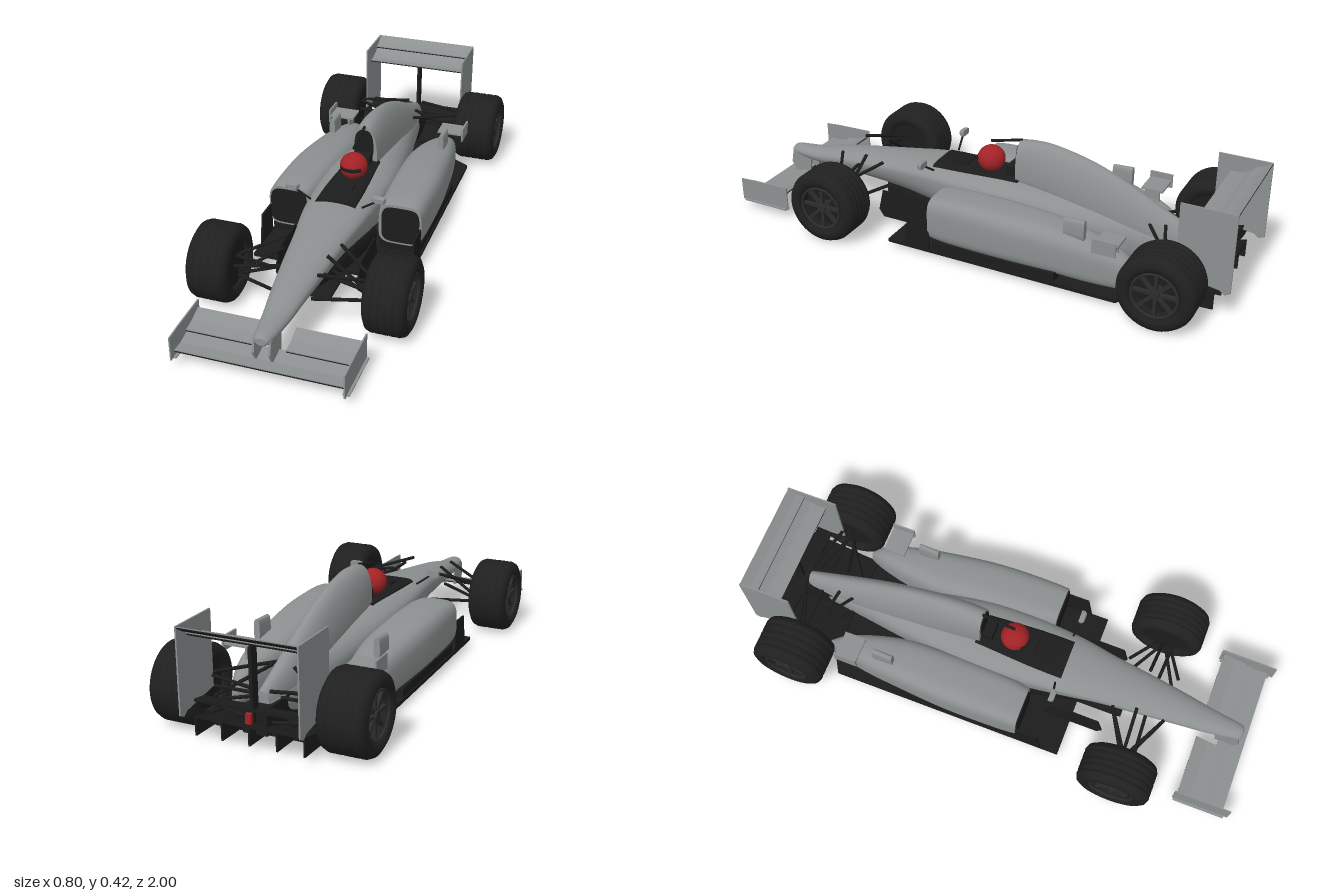
import * as THREE from 'three';

const mat = (name, color, side = THREE.FrontSide) => {
  const m = new THREE.MeshStandardMaterial({ color, side });
  m.name = name;
  return m;
};

// Loft of rounded sections [z, centreX, halfWidth, yBottom, yWidest, yTop, powerTop, powerBottom], front to back
function loft(keys, sub = 4, n = 36) {
  const rows = [];
  const cr = (a, b, c, d, t) => 0.5 * (2 * b + (c - a) * t + (2 * a - 5 * b + 4 * c - d) * t * t + (3 * b - a - 3 * c + d) * t ** 3);
  for (let i = 0; i < keys.length - 1; i++) {
    const [a, b, c, d] = [keys[Math.max(i - 1, 0)], keys[i], keys[i + 1], keys[Math.min(i + 2, keys.length - 1)]];
    for (let k = 0; k < sub; k++) rows.push(b.map((v, j) => cr(a[j], v, c[j], d[j], k / sub)));
  }
  rows.push(keys[keys.length - 1]);
  const pos = [], idx = [];
  const ring = ([z, cx, hw, yb, yw, yt, pt, pb]) => {
    for (let k = 0; k < n; k++) {
      const a = (k / n) * Math.PI * 2, c = Math.cos(a), s = Math.sin(a), p = s >= 0 ? pt : pb;
      pos.push(cx + hw * Math.sign(c) * Math.abs(c) ** p, yw + (s >= 0 ? yt - yw : yb - yw) * Math.abs(s) ** p, z);
    }
  };
  rows.forEach(ring);
  for (let i = 0; i < rows.length - 1; i++) for (let k = 0; k < n; k++) {
    const a = i * n + k, a1 = i * n + (k + 1) % n;
    idx.push(a, a + n, a1, a1, a + n, a1 + n);
  }
  for (const [row, front] of [[rows[0], true], [rows[rows.length - 1], false]]) {
    const start = pos.length / 3;
    ring(row);
    pos.push(row[1], row[4], row[0]);
    for (let k = 0; k < n; k++) {
      const a = start + k, b = start + (k + 1) % n;
      idx.push(start + n, front ? a : b, front ? b : a);
    }
  }
  const g = new THREE.BufferGeometry();
  g.setAttribute('position', new THREE.Float32BufferAttribute(pos, 3));
  g.setIndex(idx);
  g.computeVertexNormals();
  return g;
}

// Side outline of [z, y] points, extruded from x0 to x1
function extrudeX(pts, x0, x1) {
  const shape = new THREE.Shape(pts.map(([z, y]) => new THREE.Vector2(z, y)));
  const g = new THREE.ExtrudeGeometry(shape, { depth: Math.abs(x1 - x0), bevelEnabled: false });
  return g.rotateY(-Math.PI / 2).translate(Math.max(x0, x1), 0, 0);
}

// Curved strip of even thickness under a [z, y] line
const strip = (line, drop, t) => [...line.map(([z, y]) => [z, y - drop]), ...line.map(([z, y]) => [z, y - drop - t]).reverse()];

export function createModel() {
  const root = new THREE.Group();
  root.name = 'racingCar';
  const grey = mat('bodyGrey', 0x8c9090), carbon = mat('carbonBlack', 0x1c1c1c, THREE.DoubleSide);
  const rubber = mat('tyreRubber', 0x202020), rim = mat('rimGrey', 0x2c2c2e), red = mat('red', 0xa32226);
  const add = (name, geo, m, parent = root) => {
    const mesh = new THREE.Mesh(geo, m);
    mesh.name = name;
    parent.add(mesh);
    return mesh;
  };
  const box = (name, m, w, h, d, x, y, z) => add(name, new THREE.BoxGeometry(w, h, d).translate(x, y, z), m);
  const rod = (name, a, b, r = 0.006, m = carbon) => {
    const p = new THREE.Vector3(...a), q = new THREE.Vector3(...b);
    const mesh = add(name, new THREE.CylinderGeometry(r, r, p.distanceTo(q), 8), m);
    mesh.position.copy(p).lerp(q, 0.5);
    mesh.quaternion.setFromUnitVectors(new THREE.Vector3(0, 1, 0), q.sub(p).normalize());
  };

  // Nose, tub and tapering tail
  add('body', loft([
    [0.95, 0, 0.018, 0.135, 0.15, 0.162, 1, 1], [0.93, 0, 0.032, 0.128, 0.15, 0.172, 1, 1],
    [0.82, 0, 0.048, 0.12, 0.153, 0.182, 1, 1], [0.7, 0, 0.064, 0.115, 0.172, 0.208, 1, 1.1],
    [0.55, 0, 0.082, 0.11, 0.19, 0.23, 1, 1.1], [0.4, 0, 0.098, 0.1, 0.205, 0.25, 0.95, 1.1],
    [0.25, 0, 0.12, 0.08, 0.215, 0.265, 0.9, 1], [0.05, 0, 0.135, 0.05, 0.21, 0.268, 0.85, 0.8],
    [-0.15, 0, 0.132, 0.04, 0.2, 0.266, 0.9, 0.7], [-0.4, 0, 0.1, 0.035, 0.16, 0.24, 1, 0.7],
    [-0.6, 0, 0.066, 0.035, 0.13, 0.21, 1, 0.7], [-0.84, 0, 0.035, 0.06, 0.12, 0.17, 1, 0.8]]), grey);
  add('keel', loft([[0.48, 0, 0.03, 0.05, 0.09, 0.13, 1, 0.7], [0.3, 0, 0.08, 0.025, 0.09, 0.16, 1, 0.5],
    [0.1, 0, 0.12, 0.02, 0.08, 0.16, 1, 0.5]]), carbon);

  // Airbox and engine cover
  add('engineCover', loft([
    [-0.105, 0, 0.053, 0.2, 0.28, 0.412, 0.85, 1], [-0.16, 0, 0.057, 0.2, 0.28, 0.42, 0.9, 1],
    [-0.25, 0, 0.06, 0.18, 0.27, 0.418, 1, 1], [-0.4, 0, 0.06, 0.14, 0.23, 0.385, 1.05, 1],
    [-0.55, 0, 0.056, 0.1, 0.19, 0.325, 1.05, 1], [-0.7, 0, 0.046, 0.08, 0.15, 0.25, 1, 1],
    [-0.85, 0, 0.028, 0.08, 0.13, 0.185, 1, 1]]), grey);
  add('airIntake', loft([[-0.1, 0, 0.038, 0.28, 0.32, 0.4, 0.7, 0.6], [-0.108, 0, 0.038, 0.28, 0.32, 0.4, 0.7, 0.6]], 1), carbon);
  rod('cameraRod', [0, 0.383, 0.02], [0, 0.412, -0.11], 0.006);

  // Cockpit opening, headrest and driver
  add('cockpit', loft([[0.235, 0, 0.078, 0.235, 0.252, 0.27, 0.5, 1], [0.1, 0, 0.076, 0.235, 0.258, 0.273, 0.5, 1],
    [-0.12, 0, 0.062, 0.235, 0.26, 0.273, 0.5, 1]]), carbon);
  add('windscreen', extrudeX([[0.2, 0.268], [0.11, 0.284], [0.1, 0.268]], -0.035, 0.035), carbon);
  box('headrest', carbon, 0.07, 0.05, 0.05, 0, 0.285, -0.085);
  add('helmet', new THREE.SphereGeometry(0.054, 32, 20).scale(0.98, 0.95, 1).translate(0, 0.31, 0.02), red);
  add('visor', new THREE.SphereGeometry(0.0555, 24, 6, Math.PI / 2 - 0.85, 1.7, 1.36, 0.28).scale(0.98, 0.95, 1).translate(0, 0.31, 0.02), carbon);

  // Floor, plank and diffuser
  const floorShape = new THREE.Shape([[0.3, -0.31], [0.3, 0.62], [0.2, 0.68], [0.2, 0.82], [-0.2, 0.82], [-0.2, 0.68], [-0.3, 0.62], [-0.3, -0.31]]
    .map(p => new THREE.Vector2(...p)));
  add('floor', new THREE.ExtrudeGeometry(floorShape, { depth: 0.014, bevelEnabled: false }).rotateX(-Math.PI / 2).translate(0, 0.018, 0), carbon);
  add('plank', extrudeX([[0.49, 0.018], [0.47, 0.009], [-0.7, 0.009], [-0.7, 0.018]], -0.065, 0.065), carbon);
  add('diffuser', extrudeX(strip([[-0.66, 0.04], [-0.78, 0.055], [-0.94, 0.1]], 0, 0.008), -0.2, 0.2), carbon);
  for (const x of [-0.198, -0.1, 0, 0.1, 0.198])
    add('diffuserStrake', extrudeX([[-0.68, 0.02], [-0.68, 0.035], [-0.94, 0.1], [-0.94, 0.03]], x - 0.003, x + 0.003), carbon);
  box('gearbox', carbon, 0.09, 0.09, 0.3, 0, 0.1, -0.75);
  box('rearLight', red, 0.02, 0.035, 0.015, 0, 0.125, -0.935);

  // Rear wing, grey above and dark below
  const rearMain = [[-0.85, 0.362], [-0.88, 0.362], [-0.91, 0.37], [-0.945, 0.387]];
  const rearFlap = [[-0.935, 0.394], [-0.965, 0.404], [-0.998, 0.423]];
  for (const line of [rearMain, rearFlap]) {
    add('rearWingTop', extrudeX(strip(line, 0, 0.004), -0.213, 0.213), grey);
    add('rearWingUnderside', extrudeX(strip(line, 0.004, 0.004), -0.213, 0.213), carbon);
  }
  box('rearWingPost', carbon, 0.012, 0.26, 0.035, 0, 0.23, -0.9);
  add('beamWing', extrudeX(strip([[-0.86, 0.14], [-0.92, 0.15]], 0, 0.01), -0.213, 0.213), carbon);

  // Front wing main plane and nose pillars
  const frontMain = [[0.975, 0.064], [0.93, 0.063], [0.875, 0.075]];
  add('frontWingTop', extrudeX(strip(frontMain, 0, 0.004), -0.298, 0.298), grey);
  add('frontWingUnderside', extrudeX(strip(frontMain, 0.004, 0.005), -0.298, 0.298), carbon);

  // One grooved wheel with spoked rim, outer side towards +y before turning
  const wheel = (s, x, z, w, r, name) => {
    const g = new THREE.Group();
    g.name = name;
    const h = w / 2, pts = [[0.086, -h + 0.012], [0.1, -h], [r - 0.025, -h], [r - 0.007, -h + 0.01], [r, -h + 0.026]];
    for (let i = -1.5; i <= 1.5; i++) {
      const y = i * w * 0.17;
      pts.push([r, y - 0.005], [r - 0.005, y - 0.003], [r - 0.005, y + 0.003], [r, y + 0.005]);
    }
    pts.push([r, h - 0.026], [r - 0.007, h - 0.01], [r - 0.025, h], [0.1, h], [0.086, h - 0.012], [0.086, -h + 0.012]);
    const v = a => a.map(p => new THREE.Vector2(...p));
    add('tyre', new THREE.LatheGeometry(v(pts), 48), rubber, g);
    add('rimLip', new THREE.TorusGeometry(0.083, 0.005, 8, 40).rotateX(Math.PI / 2).translate(0, h - 0.01, 0), rim, g);
    add('rimDish', new THREE.CylinderGeometry(0.086, 0.086, w * 0.55, 40).translate(0, -w * 0.1, 0), carbon, g);
    add('hub', new THREE.CylinderGeometry(0.016, 0.02, w * 0.36, 20).translate(0, h - 0.012 - w * 0.18, 0), rim, g);
    for (let i = 0; i < 8; i++)
      add('spoke', new THREE.BoxGeometry(0.074, 0.014, 0.011).translate(0.047, h - 0.026, 0).rotateY(i * Math.PI / 4), rim, g);
    g.rotation.z = -s * Math.PI / 2;
    g.position.set(x * s, r + 0.002, z);
    root.add(g);
  };

  for (const s of [1, -1]) {
    const side = s > 0 ? 'left' : 'right';
    wheel(s, 0.322, 0.553, 0.154, 0.143, side + 'FrontWheel');
    wheel(s, 0.307, -0.786, 0.172, 0.143, side + 'RearWheel');

    // Sidepod with intake
    add(side + 'Sidepod', loft([
      [0.135, 0.22 * s, 0.083, 0.07, 0.15, 0.236, 0.5, 0.45], [0.05, 0.215 * s, 0.092, 0.062, 0.15, 0.245, 0.55, 0.45],
      [-0.15, 0.21 * s, 0.097, 0.055, 0.145, 0.242, 0.6, 0.5], [-0.35, 0.2 * s, 0.09, 0.045, 0.135, 0.222, 0.65, 0.5],
      [-0.5, 0.202 * s, 0.069, 0.035, 0.115, 0.196, 0.7, 0.5], [-0.62, 0.206 * s, 0.04, 0.03, 0.09, 0.155, 0.8, 0.6],
      [-0.68, 0.206 * s, 0.012, 0.03, 0.06, 0.1, 1, 0.8]]), grey);
    add(side + 'SidepodIntake', loft([[0.14, 0.222 * s, 0.073, 0.08, 0.15, 0.225, 0.45, 0.45], [0.132, 0.222 * s, 0.073, 0.08, 0.15, 0.225, 0.45, 0.45]], 1), carbon);
    box(side + 'FloorSide', carbon, 0.16, 0.04, 0.5, 0.215 * s, 0.045, -0.13);
    box(side + 'Winglet', grey, 0.105, 0.008, 0.085, 0.24 * s, 0.222, -0.565);
    box(side + 'WingletPlate', grey, 0.007, 0.055, 0.09, 0.292 * s, 0.222, -0.565);
    box(side + 'WingletFoot', grey, 0.007, 0.07, 0.06, 0.21 * s, 0.19, -0.56);
    add(side + 'Exhaust', loft([[-0.39, 0.234 * s, 0.012, 0.19, 0.225, 0.272, 0.6, 1], [-0.47, 0.234 * s, 0.012, 0.19, 0.225, 0.276, 0.6, 1]], 1, 16), grey);

    // Deflectors ahead of the sidepods
    const board = add(side + 'Bargeboard', extrudeX([[0.44, 0.06], [0.42, 0.145], [0.24, 0.15], [0.2, 0.03], [0.42, 0.03]], -0.003, 0.003), carbon);
    board.position.x = 0.155 * s;
    add(side + 'Deflector', extrudeX([[0.13, 0.03], [0.13, 0.15], [0.22, 0.15], [0.24, 0.03]], 0.295 * s, 0.302 * s), carbon);

    // Mirror
    add(side + 'Mirror', loft([[0.242, 0.167 * s, 0.018, 0.296, 0.305, 0.314, 0.5, 0.5], [0.235, 0.167 * s, 0.024, 0.292, 0.305, 0.317, 0.4, 0.4],
      [0.222, 0.167 * s, 0.024, 0.292, 0.305, 0.317, 0.4, 0.4]], 1), grey);
    rod(side + 'MirrorArm', [0.155 * s, 0.295, 0.23], [0.1 * s, 0.255, 0.22], 0.004);

    // Front suspension
    for (const [a, b] of [[[0.085, 0.232, 0.65], [0.25, 0.185, 0.56]], [[0.1, 0.235, 0.45], [0.25, 0.185, 0.55]],
      [[0.06, 0.13, 0.65], [0.25, 0.105, 0.56]], [[0.07, 0.12, 0.45], [0.25, 0.105, 0.55]],
      [[0.08, 0.24, 0.54], [0.25, 0.115, 0.55]], [[0.08, 0.19, 0.58], [0.25, 0.16, 0.59]],
      // Rear suspension and drive shaft
      [[0.04, 0.21, -0.64], [0.23, 0.19, -0.78]], [[0.03, 0.19, -0.85], [0.23, 0.19, -0.8]],
      [[0.04, 0.09, -0.64], [0.23, 0.09, -0.78]], [[0.03, 0.09, -0.87], [0.23, 0.09, -0.8]],
      [[0.04, 0.22, -0.7], [0.23, 0.1, -0.77]], [[0, 0.145, -0.786], [0.24, 0.145, -0.786]]])
      rod(side + 'SuspensionArm', [a[0] * s, a[1], a[2]], [b[0] * s, b[1], b[2]], 0.0065);

    // Wing endplates, front flaps and nose pillars
    add(side + 'RearEndplate', extrudeX([[-0.8, 0.423], [-1, 0.423], [-1, 0.12], [-0.98, 0.11], [-0.96, 0.125], [-0.8, 0.15]], 0.212 * s, 0.218 * s), grey);
    add(side + 'FrontEndplate', extrudeX([[0.78, 0.135], [0.94, 0.132], [1, 0.128], [1, 0.038], [0.78, 0.038]], 0.298 * s, 0.303 * s), grey);
    box(side + 'FrontFootplate', grey, 0.024, 0.005, 0.2, 0.3 * s, 0.04, 0.885);
    const flap = [[0.885, 0.083], [0.84, 0.09], [0.79, 0.11]];
    add(side + 'FrontFlapTop', extrudeX(strip(flap, 0, 0.004), 0.06 * s, 0.298 * s), grey);
    add(side + 'FrontFlapUnderside', extrudeX(strip(flap, 0.004, 0.004), 0.06 * s, 0.298 * s), carbon);
    add(side + 'NosePillar', extrudeX([[0.94, 0.15], [0.95, 0.1], [0.93, 0.062], [0.86, 0.065], [0.85, 0.14]], 0.025 * s, 0.033 * s), grey);
  }
  return root;
}
